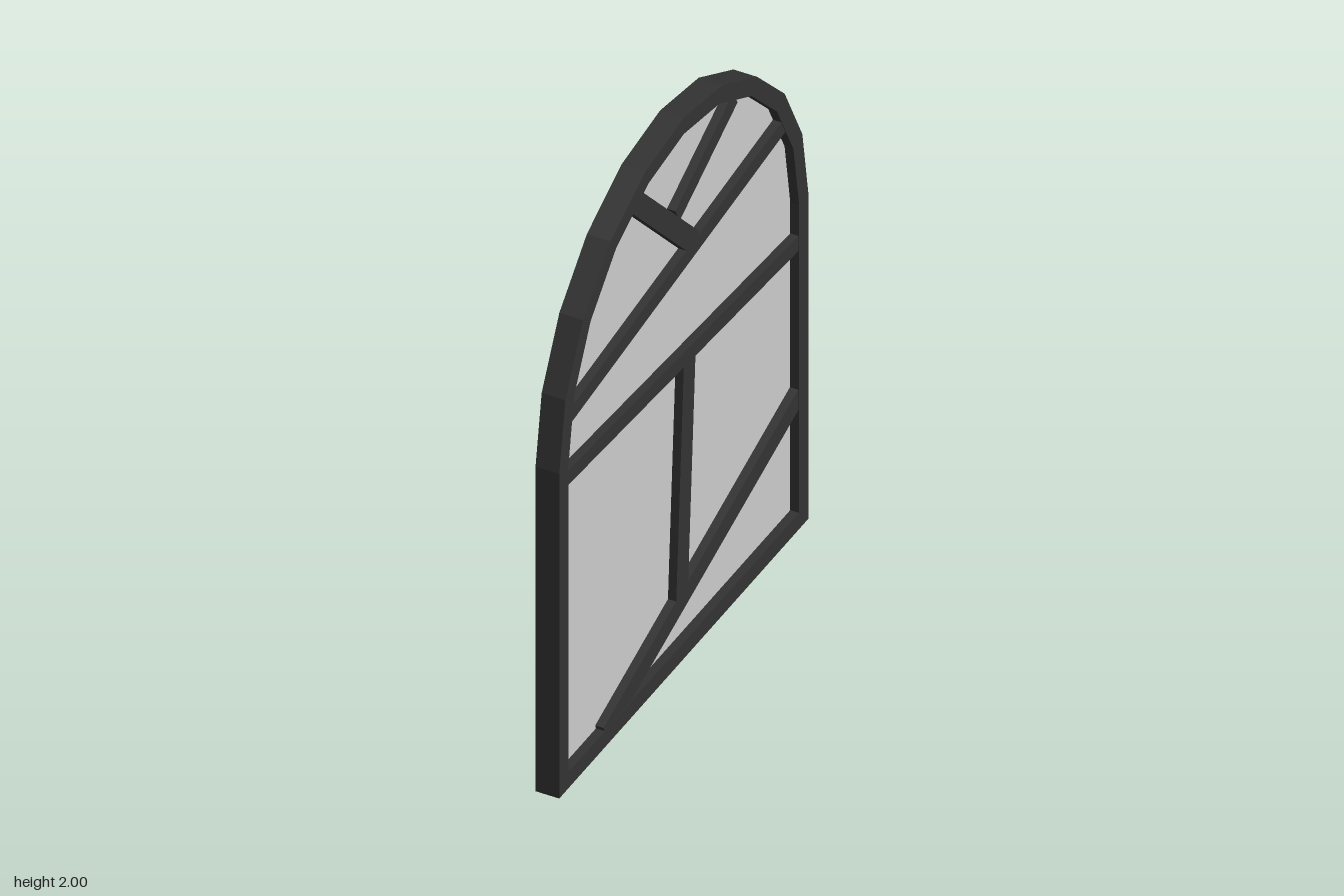
import * as THREE from 'three';

const SPRING = 1.2; // height where the arch begins
const ARCH_SEGMENTS = 10;

// Closed arch outline; u runs along z, v is height
function archPoints(radius, bottom) {
  const points = [new THREE.Vector2(-radius, bottom), new THREE.Vector2(radius, bottom)];
  for (let i = 0; i <= ARCH_SEGMENTS; i++) {
    const a = (i / ARCH_SEGMENTS) * Math.PI;
    points.push(new THREE.Vector2(radius * Math.cos(a), SPRING + radius * Math.sin(a)));
  }
  return points;
}

// Extrude a shape, centre its thickness and turn it into the yz plane
function slab(name, shape, thickness, material) {
  const geometry = new THREE.ExtrudeGeometry(shape, { depth: thickness, bevelEnabled: false });
  geometry.translate(0, 0, -thickness / 2);
  geometry.rotateY(-Math.PI / 2);
  const mesh = new THREE.Mesh(geometry, material);
  mesh.name = name;
  return mesh;
}

// Straight bar between two (z, y) points
function bar(name, [z1, y1], [z2, y2], width, material) {
  const length = Math.hypot(z2 - z1, y2 - y1);
  const mesh = new THREE.Mesh(new THREE.BoxGeometry(0.076, width, length), material);
  mesh.name = name;
  mesh.position.set(0, (y1 + y2) / 2, (z1 + z2) / 2);
  mesh.rotation.x = -Math.atan2(y2 - y1, z2 - z1);
  return mesh;
}

export function createModel() {
  const group = new THREE.Group();
  group.name = 'archedWindow';
  const dark = new THREE.MeshStandardMaterial({ color: 0x333333, flatShading: true });
  const grey = new THREE.MeshStandardMaterial({ color: 0xcccccc, flatShading: true });

  // Outer frame with an arched opening
  const frame = new THREE.Shape(archPoints(0.8, 0));
  frame.holes.push(new THREE.Path(archPoints(0.74, 0.06)));
  group.add(slab('frame', frame, 0.08, dark));

  // Glass, tucked into the frame
  group.add(slab('glassPane', new THREE.Shape(archPoints(0.76, 0.04)), 0.02, grey));

  // Irregular dividing bars
  const bars = [
    ['upperCrossBar', [0.75, 1.361], [-0.68, 1.554], 0.056, 0],
    ['middleCrossBar', [0.75, 1.147], [-0.75, 1.055], 0.055, 0],
    ['uprightBar', [-0.042, 1.09], [0.008, 0.23], 0.075, 0],
    ['lowerDiagonalBar', [0.5, 0.04], [-0.75, 0.482], 0.072, 0],
    ['archDiagonalBar', [0.308, 1.889], [-0.076, 1.489], 0.073, 0],
    ['archBranchBar', [0.037, 1.66], [-0.335, 1.857], 0.06, 0],
  ];
  for (const [name, from, to, width] of bars) group.add(bar(name, from, to, width, dark));

  return group;
}
